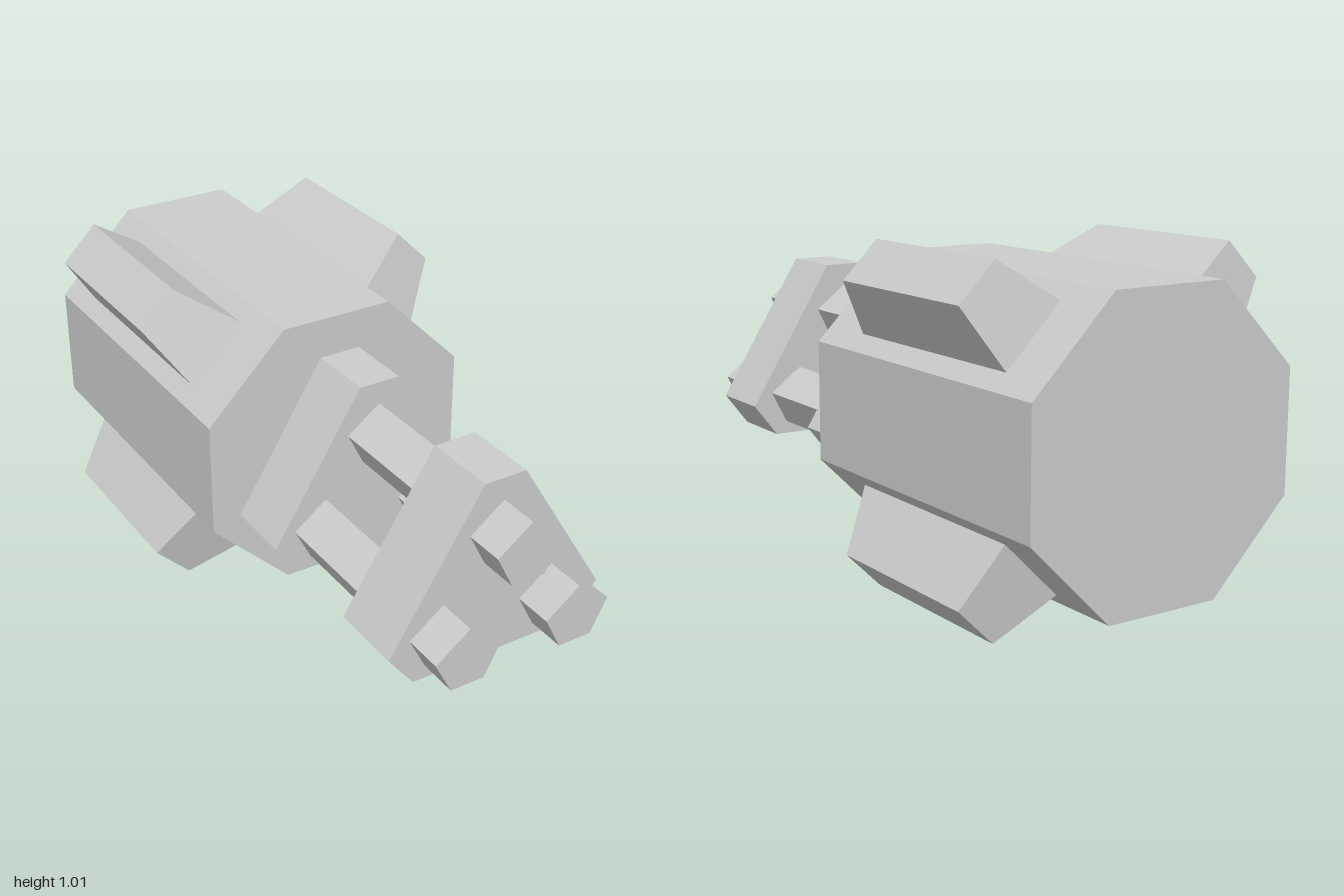
import * as THREE from 'three';

const CENTER_Y = 0.5065;

// Straight prism along z from a counter-clockwise outline
function prism(points, zBack, zFront, material, name) {
  const shape = new THREE.Shape(points.map(([x, y]) => new THREE.Vector2(x, y)));
  const geometry = new THREE.ExtrudeGeometry(shape, { depth: zFront - zBack, bevelEnabled: false });
  geometry.translate(0, 0, zBack);
  const mesh = new THREE.Mesh(geometry, material);
  mesh.name = name;
  return mesh;
}

// Tapered fin on the diagonal: box corners moved to a wide base and a short outer face
function finGeometry() {
  const geometry = new THREE.BoxGeometry(1, 1, 1);
  const p = geometry.attributes.position;
  for (let i = 0; i < p.count; i++) {
    const outer = p.getY(i) > 0;
    const front = p.getZ(i) > 0;
    const [a, b] = outer ? [0.394, 0.503] : [0.222, 0.389];
    const z = outer ? (front ? -0.22 : -0.79) : (front ? -0.133 : -0.835);
    if (p.getX(i) < 0) p.setXYZ(i, a, b, z);
    else p.setXYZ(i, b, a, z);
  }
  geometry.computeVertexNormals();
  return geometry;
}

export function createModel() {
  const model = new THREE.Group();
  model.name = 'rotaryGun';
  const grey = new THREE.MeshStandardMaterial({ color: 0xcccccc, flatShading: true });
  grey.name = 'light grey';

  // Octagonal body
  const radius = 0.433 / Math.cos(Math.PI / 8);
  const octagon = Array.from({ length: 8 }, (_, i) => {
    const t = (i + 0.5) * Math.PI / 4;
    return [radius * Math.cos(t), CENTER_Y + radius * Math.sin(t)];
  });
  model.add(prism(octagon, -1, 0.053, grey, 'body'));

  // Four fins on the slanted sides
  const fin = finGeometry();
  for (let i = 0; i < 4; i++) {
    const mesh = new THREE.Mesh(fin, grey);
    mesh.name = 'fin' + (i + 1);
    mesh.position.y = CENTER_Y;
    mesh.rotation.z = i * Math.PI / 2;
    model.add(mesh);
  }

  // Two clamp plates with cut corners
  const plate = [[-0.27, 0.266], [0.27, 0.266], [0.35, 0.37], [0.066, 0.826], [-0.066, 0.826], [-0.35, 0.37]];
  model.add(prism(plate, 0.07, 0.285, grey, 'rearClamp'));
  model.add(prism(plate, 0.655, 0.88, grey, 'frontClamp'));

  // Three five-sided barrels
  const pentagon = [[0, 0.09], [-0.105, 0.011], [-0.053, -0.091], [0.053, -0.091], [0.105, 0.011]];
  for (const [x, y, name] of [[0, 0.667, 'topBarrel'], [0.18, 0.398, 'leftBarrel'], [-0.18, 0.398, 'rightBarrel']]) {
    const barrel = prism(pentagon, 0.08, 1, grey, name);
    barrel.position.set(x, y, 0);
    model.add(barrel);
  }
  return model;
}
